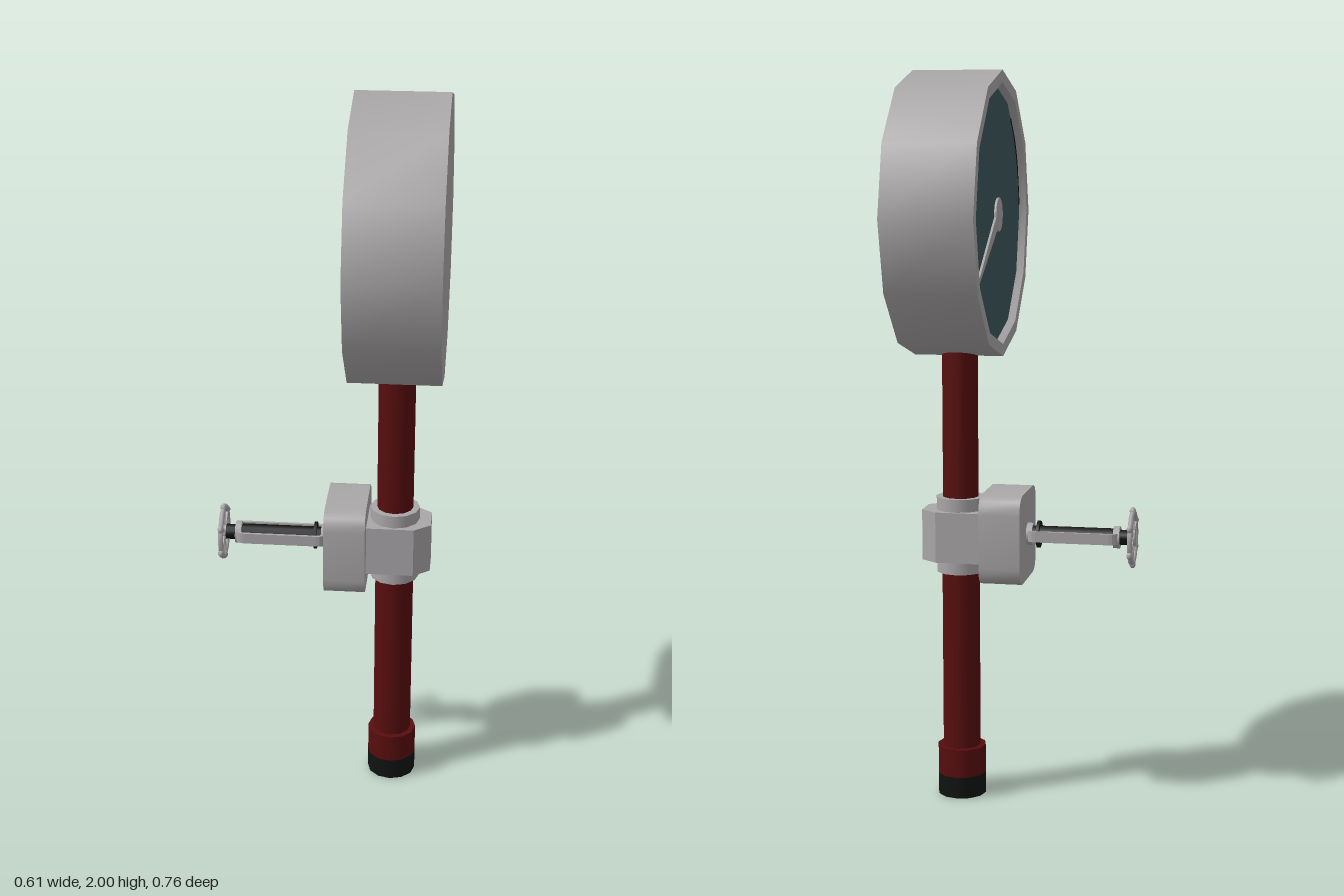
import * as THREE from 'three';
import { toCreasedNormals } from 'three/addons/utils/BufferGeometryUtils.js';

const material = (name, color, side = THREE.FrontSide) => {
  const m = new THREE.MeshStandardMaterial({ color, side });
  m.name = name;
  return m;
};

export function createModel() {
  const steel = material('steel grey', 0xaaa7a9);
  const red = material('dark red paint', 0x580d0e);
  const black = material('black rubber', 0x101312);
  const teal = material('dark teal dial', 0x3c575b);

  const model = new THREE.Group();
  model.name = 'pressureGauge';
  const PIPE_X = 0.18, STEM_Y = 0.75, DIAL_Y = 1.62;

  const add = (name, geometry, mat, x = 0, y = 0, z = 0, parent = model) => {
    const mesh = new THREE.Mesh(geometry, mat);
    mesh.name = name;
    mesh.position.set(x, y, z);
    parent.add(mesh);
    return mesh;
  };
  // upright cylinder between two heights
  const post = (name, r, y0, y1, mat, sides = 12) =>
    add(name, new THREE.CylinderGeometry(r, r, y1 - y0, sides), mat, PIPE_X, (y0 + y1) / 2);
  // cylinder along x, on the valve stem axis
  const rod = (name, r, x0, x1, mat, sides = 12) =>
    add(name, new THREE.CylinderGeometry(r, r, x1 - x0, sides).rotateZ(Math.PI / 2), mat, (x0 + x1) / 2, STEM_Y);
  // shape drawn in (z, y), extruded towards -x
  const sideways = (shape, depth, curveSegments = 4) => toCreasedNormals(
    new THREE.ExtrudeGeometry(shape, { depth, bevelEnabled: false, curveSegments }).rotateY(-Math.PI / 2), 0.6);

  // pipe and foot
  post('lowerPipe', 0.053, 0.1, 0.68, red);
  post('upperPipe', 0.05, 0.8, 1.27, red);
  post('footSleeve', 0.068, 0.06, 0.14, red);
  post('footCap', 0.068, 0, 0.06, black);
  add('footPlug', new THREE.CircleGeometry(0.025, 12).rotateX(Math.PI / 2), red, PIPE_X, -0.001);

  // clamp around the pipe
  post('clampCollar', 0.068, 0.64, 0.85, steel);
  const clamp = new THREE.Shape([[0.09, 0.075], [0.09, -0.075], [0.235, -0.075],
    [0.28, -0.04], [0.28, 0.04], [0.235, 0.075]].map(([x, z]) => new THREE.Vector2(x, z)));
  add('clampBlock', new THREE.ExtrudeGeometry(clamp, { depth: 0.14, bevelEnabled: false })
    .rotateX(-Math.PI / 2), steel, 0, 0.675);
  rod('clampSeat', 0.05, 0.08, 0.14, steel);

  // valve body with rounded corners
  const w = 0.123, r = 0.05;
  const body = new THREE.Shape();
  body.moveTo(-w + r, -w).lineTo(w - r, -w).quadraticCurveTo(w, -w, w, -w + r)
    .lineTo(w, w - r).quadraticCurveTo(w, w, w - r, w)
    .lineTo(-w + r, w).quadraticCurveTo(-w, w, -w, w - r)
    .lineTo(-w, -w + r).quadraticCurveTo(-w, -w, -w + r, -w);
  add('valveBody', sideways(body, 0.113), steel, 0.105, 0.748);

  // stem and yoke
  rod('stem', 0.024, -0.245, 0, black);
  rod('stemEnd', 0.021, -0.292, -0.24, black);
  rod('stemFlange', 0.038, -0.044, -0.036, black);
  rod('yokeFrontRing', 0.031, -0.264, -0.247, steel);
  rod('yokeRearRing', 0.031, -0.024, -0.005, steel);
  for (const s of [1, -1]) {
    const bar = new THREE.Shape();
    bar.moveTo(-0.262, 0.022).quadraticCurveTo(-0.258, 0.04, -0.238, 0.041)
      .lineTo(-0.035, 0.041).quadraticCurveTo(-0.015, 0.04, -0.011, 0.022)
      .lineTo(-0.02, 0.022).quadraticCurveTo(-0.024, 0.033, -0.038, 0.033)
      .lineTo(-0.235, 0.033).quadraticCurveTo(-0.25, 0.033, -0.253, 0.022);
    const geometry = new THREE.ExtrudeGeometry(bar, { depth: 0.03, bevelEnabled: false, curveSegments: 4 });
    geometry.translate(0, 0, -0.015).rotateX(s * Math.PI / 2);
    add('yokeBar', geometry, steel, 0, STEM_Y);
  }

  // handwheel
  const wheel = new THREE.Group();
  wheel.name = 'handwheel';
  wheel.position.set(-0.298, STEM_Y, 0);
  model.add(wheel);
  add('wheelRim', new THREE.TorusGeometry(0.07, 0.0075, 6, 12).rotateY(Math.PI / 2), steel, 0, 0, 0, wheel);
  add('wheelHub', new THREE.CylinderGeometry(0.022, 0.022, 0.014, 12).rotateZ(Math.PI / 2), steel, 0, 0, 0, wheel);
  for (let i = 0; i < 6; i++) {
    const spoke = new THREE.Group();
    spoke.rotation.x = i * Math.PI / 3;
    wheel.add(spoke);
    add('wheelSpoke', new THREE.BoxGeometry(0.008, 0.06, 0.011), steel, 0, 0.042, 0, spoke);
    add('wheelKnob', new THREE.SphereGeometry(0.012, 8, 6).scale(0.75, 1, 1), steel, 0, 0.073, 0, spoke);
  }

  // gauge case with a recessed face towards -x
  const profile = [[0, 0], [0.381, 0], [0.381, 0.245], [0.348, 0.245], [0.342, 0.222], [0, 0.222]]
    .map(([x, y]) => new THREE.Vector2(x, y));
  add('gaugeCase', toCreasedNormals(new THREE.LatheGeometry(profile, 12), 0.6), steel, 0.305, DIAL_Y)
    .rotation.z = Math.PI / 2;
  add('dialFace', new THREE.CircleGeometry(0.343, 12).rotateY(-Math.PI / 2), teal, 0.08, DIAL_Y);
  // dark band at the edge of the dial
  add('dialBand', new THREE.RingGeometry(0.322, 0.335, 8, 1, 0.05, 0.85).rotateY(-Math.PI / 2), black, 0.078, DIAL_Y);

  // needle: round hub with a tapering blade
  const needle = new THREE.Shape();
  needle.absarc(0, 0, 0.045, 0.4, Math.PI * 2 - 0.4, false);
  needle.lineTo(0.08, -0.017).lineTo(0.31, -0.006).lineTo(0.31, 0.006).lineTo(0.08, 0.017);
  add('needle', sideways(needle, 0.006, 12), steel, 0.075, DIAL_Y).rotation.x = -(Math.PI + 0.55);

  return model;
}
